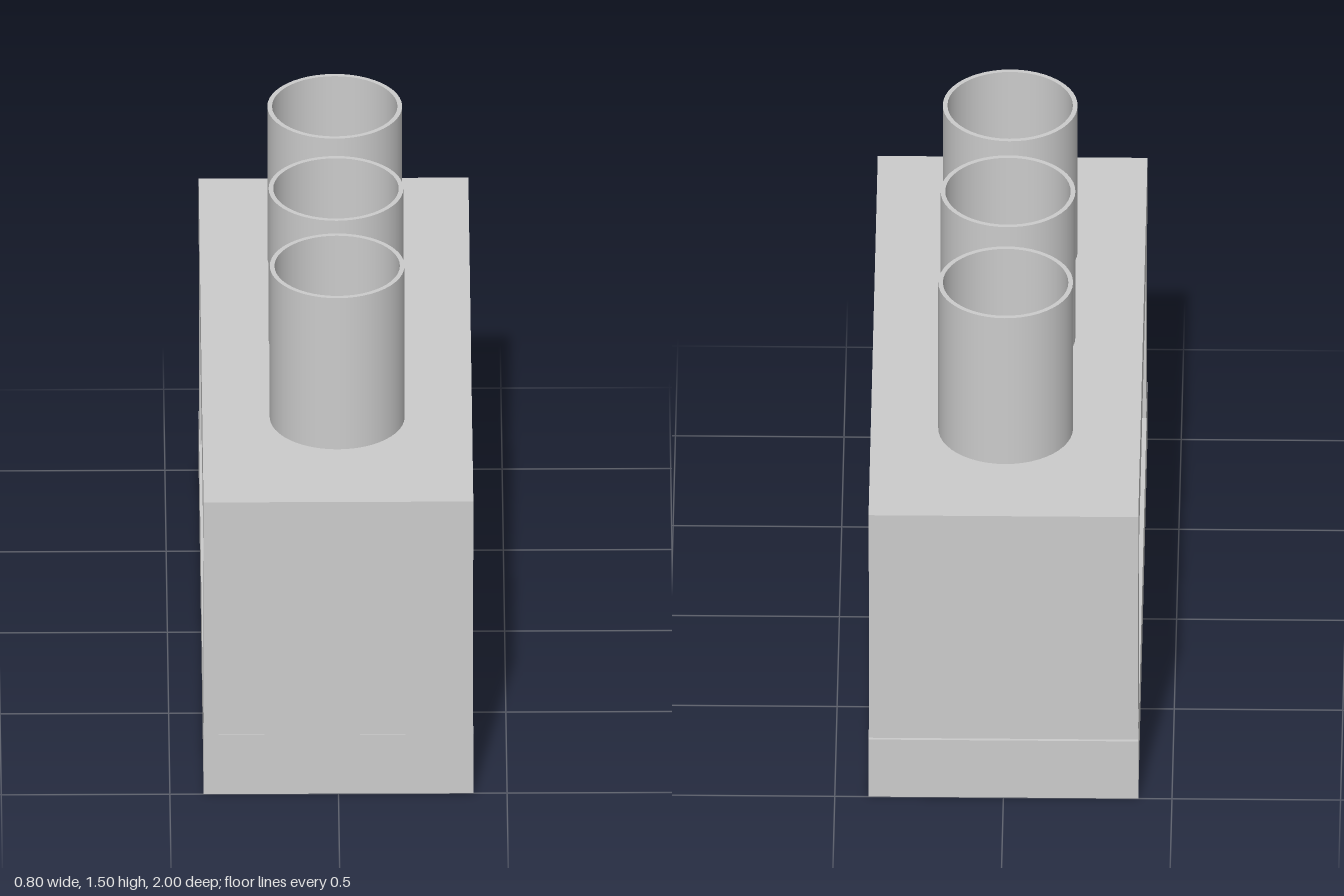
import * as THREE from 'three';

const TUBE_Z = [0.475, -0.003, -0.51];
const R = 0.2, INNER = 0.186, DOME_Y = 0.495, TOP = 1.497;

export function createModel() {
  const group = new THREE.Group();
  const mat = new THREE.MeshStandardMaterial({ color: 0xcccccc });
  const add = (name, geo, x = 0, y = 0, z = 0, material = mat) => {
    const m = new THREE.Mesh(geo, material);
    m.name = name;
    m.position.set(x, y, z);
    group.add(m);
  };

  // Rack: base, two end walls (the back one slightly recessed)
  add('base', new THREE.BoxGeometry(0.8, 0.2, 2), 0, 0.1, 0);
  add('frontWall', new THREE.BoxGeometry(0.798, 0.59, 0.198), 0, 0.495, 0.9);
  add('backWall', new THREE.BoxGeometry(0.798, 0.59, 0.198), 0, 0.495, -0.891);

  // Top plate with a hole for each tube
  const plate = new THREE.Shape([[-0.4, -1], [0.4, -1], [0.4, 1], [-0.4, 1]].map(p => new THREE.Vector2(...p)));
  for (const z of TUBE_Z) {
    const hole = new THREE.Path();
    hole.absarc(0, -z, (R + INNER) / 2, 0, Math.PI * 2, true);
    plate.holes.push(hole);
  }
  const plateGeo = new THREE.ExtrudeGeometry(plate, { depth: 0.197, bevelEnabled: false, curveSegments: 32 });
  plateGeo.rotateX(-Math.PI / 2);
  add('topPlate', plateGeo, 0, 0.789, 0);

  // Test tubes: open wall with a flat lip, standing on a ball that forms the rounded bottom
  const wall = [[R, DOME_Y], [R, TOP]];
  const lip = [[R, TOP], [INNER, TOP]];
  const bore = [[INNER, TOP], [INNER, DOME_Y]];
  const lathe = pts => new THREE.LatheGeometry(pts.map(p => new THREE.Vector2(...p)), 48);
  const parts = { tubeWall: lathe(wall), tubeLip: lathe(lip), tubeBore: lathe(bore) };
  const ball = new THREE.SphereGeometry(R, 48, 32);
  // narrow the upper half so it stays inside the bore
  const topBall = new THREE.SphereGeometry(R, 48, 16, 0, Math.PI * 2, 0, Math.asin(INNER / R));
  const bottomBall = new THREE.SphereGeometry(R, 48, 16, 0, Math.PI * 2, Math.PI / 2, Math.PI / 2);
  ball.dispose();
  for (const z of TUBE_Z) {
    for (const [name, geo] of Object.entries(parts)) add(name, geo, 0, 0, z);
    add('tubeFloor', topBall, 0, DOME_Y, z);
    add('tubeBottom', bottomBall, 0, DOME_Y, z);
  }
  return group;
}
